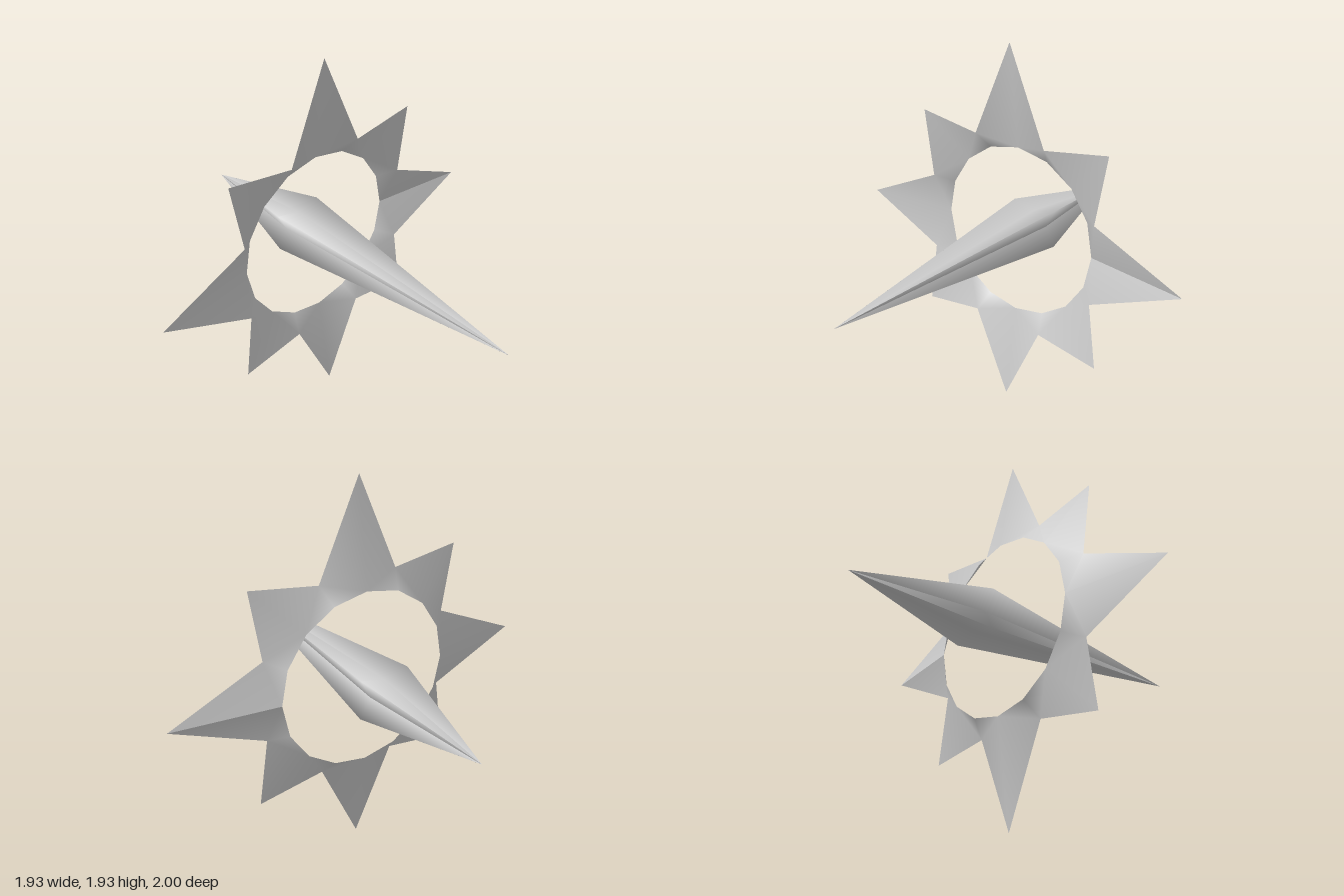
import * as THREE from 'three';

const CENTER_Y = 0.965;

// Smooth surface from a rows x columns grid of points; flip(c) picks each quad's diagonal.
function gridSurface(rows, flip = () => false) {
  const cols = rows[0].length;
  const index = [];
  for (let r = 0; r < rows.length - 1; r++) {
    for (let c = 0; c < cols - 1; c++) {
      const a = r * cols + c, b = a + 1, d = a + cols, e = d + 1;
      if (flip(c)) index.push(a, d, b, b, d, e);
      else index.push(a, d, e, a, e, b);
    }
  }
  const geometry = new THREE.BufferGeometry();
  geometry.setAttribute('position', new THREE.Float32BufferAttribute(rows.flat(2), 3));
  geometry.setIndex(index);
  geometry.computeVertexNormals();
  return geometry;
}

export function createModel() {
  const group = new THREE.Group();
  const hullGrey = new THREE.MeshStandardMaterial({ color: 0xcccccc, side: THREE.DoubleSide });
  hullGrey.name = 'hull grey';

  const add = (name, geometry) => {
    const mesh = new THREE.Mesh(geometry, hullGrey);
    mesh.name = name;
    mesh.position.y = CENTER_Y;
    group.add(mesh);
  };

  // Shallow open star: flat spiked rim, round opening set further back
  const rimRadii = [0.965, 0.542, 0.783, 0.542];
  const inner = [], rim = [];
  for (let i = 0; i <= 16; i++) {
    const t = (i * Math.PI) / 8;
    const r = rimRadii[i % 4];
    inner.push([0.452 * Math.cos(t), 0.452 * Math.sin(t), -0.188]);
    rim.push([r * Math.cos(t), r * Math.sin(t), -0.115]);
  }
  // diagonals always run from a spike tip to the opening
  add('starRing', gridSurface([inner, rim], (c) => c % 2 === 1));

  // Long spindle with a four-pointed cross-section, widest behind the middle
  const section = [
    [0.077, 0], [0.13, 0.1], [0, 0.07], [-0.13, 0.1],
    [-0.077, 0], [-0.13, -0.1], [0, -0.07], [0.13, -0.1], [0.077, 0],
  ];
  const stations = [[1, 0.001], [-0.335, 1], [-1, 0.001]];
  add('spindle', gridSurface(stations.map(([z, s]) => section.map(([x, y]) => [x * s, y * s, z]))));

  return group;
}
